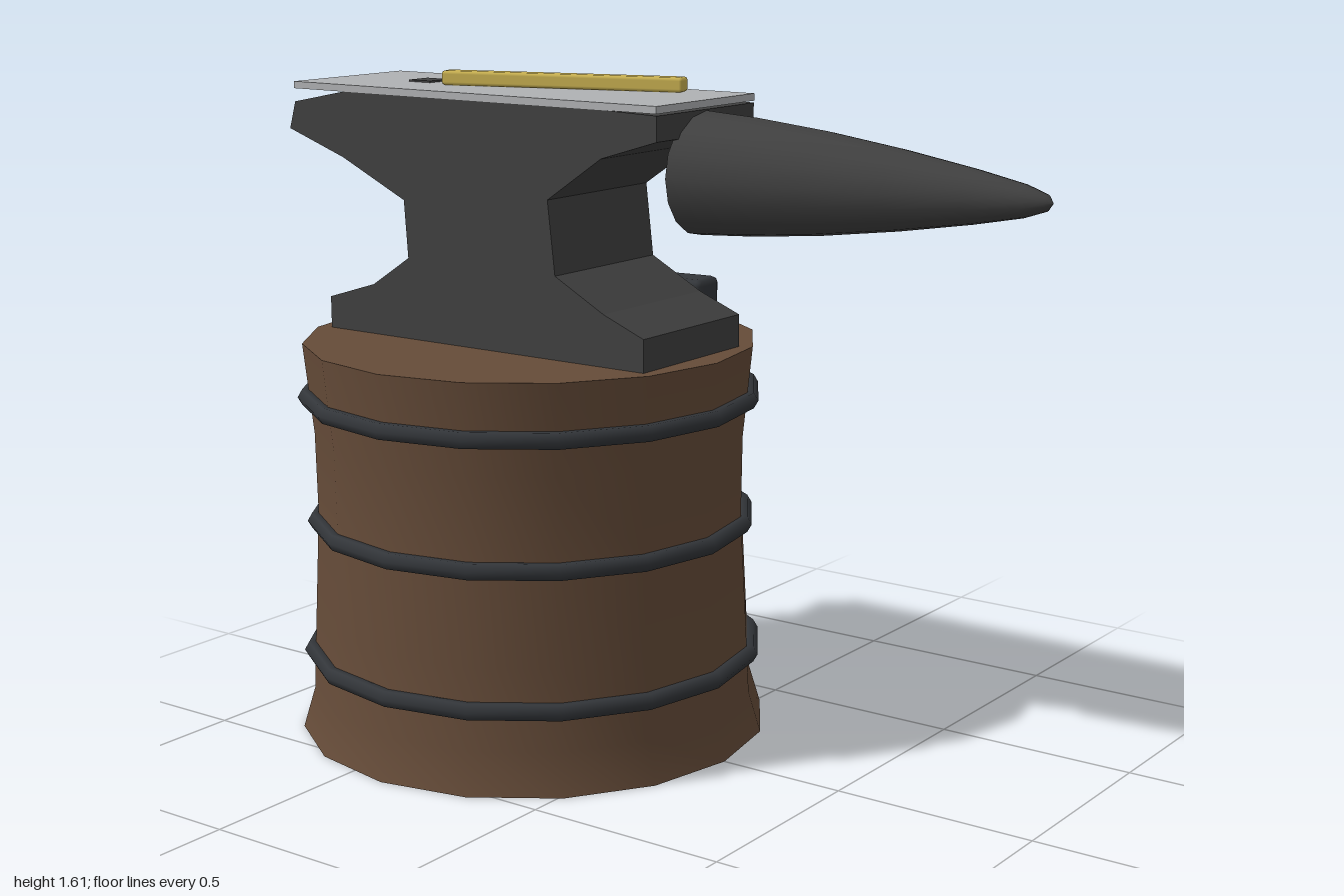
import * as THREE from 'three';
import { RoundedBoxGeometry } from 'three/addons/geometries/RoundedBoxGeometry.js';

const material = (name, color, extra = {}) => {
  const m = new THREE.MeshStandardMaterial({ color, ...extra });
  m.name = name;
  return m;
};

export function createModel() {
  const wood = material('stump wood', 0x664c39);
  const steel = material('dark steel', 0x404040);
  const face = material('polished steel', 0xb0b2b4);
  const iron = material('band iron', 0x33363a);
  const brass = material('brass', 0xcab252);
  const handleWood = material('handle wood', 0x5f4230, { flatShading: true });

  const model = new THREE.Group();
  const add = (name, geometry, mat, parent = model, x = 0, y = 0, z = 0) => {
    const mesh = new THREE.Mesh(geometry, mat);
    mesh.name = name;
    mesh.position.set(x, y, z);
    parent.add(mesh);
    return mesh;
  };
  const points = (list) => list.map(([x, y]) => new THREE.Vector2(x, y));

  // Stump: flared, waisted log with flat end caps
  const stump = new THREE.Group();
  stump.name = 'stump';
  stump.position.x = -0.4;
  model.add(stump);
  const log = [[0.58, 0], [0.55, 0.1], [0.54, 0.3], [0.527, 0.55], [0.53, 0.75], [0.553, 0.972]];
  add('stumpSide', new THREE.LatheGeometry(points(log), 16), wood, stump);
  add('stumpTop', new THREE.CircleGeometry(0.553, 16), wood, stump, 0, 0.972).rotation.x = -Math.PI / 2;
  add('stumpBottom', new THREE.CircleGeometry(0.58, 16), wood, stump).rotation.x = Math.PI / 2;

  // Iron bands
  for (const [y, r] of [[0.2, 0.55], [0.53, 0.532], [0.84, 0.546]]) {
    add('band', new THREE.TorusGeometry(r, 0.022, 6, 16), iron, stump, 0, y).rotation.x = Math.PI / 2;
  }

  // Anvil body: side profile extruded across the width
  const profile = [
    [-0.88, 0.972], [0.083, 0.972], [0.083, 1.05], [-0.03, 1.095], [-0.17, 1.17], [-0.19, 1.345],
    [-0.035, 1.45], [0.12, 1.497], [0.12, 1.555], [-0.14, 1.563], [-0.8, 1.563], [-0.98, 1.527],
    [-1, 1.46], [-0.825, 1.4], [-0.63, 1.31], [-0.62, 1.17], [-0.735, 1.095], [-0.88, 1.05],
  ];
  const body = new THREE.ExtrudeGeometry(new THREE.Shape(points(profile)), { depth: 0.386, bevelEnabled: false });
  body.translate(0, 0, -0.193);
  add('anvilBody', body, steel);

  // Face plate and its two holes
  add('facePlate', new THREE.BoxGeometry(1.1, 0.017, 0.39), face, model, -0.43, 1.568, 0);
  add('squareHole', new THREE.BoxGeometry(0.068, 0.008, 0.068), steel, model, -0.712, 1.577, 0);
  add('roundHole', new THREE.CylinderGeometry(0.02, 0.02, 0.008, 10), steel, model, -0.52, 1.577, -0.008);

  // Horn: rounded taper pointing to +x, with a closed base
  const horn = new THREE.Group();
  horn.name = 'horn';
  horn.position.set(0.107, 1.41, 0);
  horn.rotation.z = -Math.PI / 2;
  model.add(horn);
  const taper = [[0.143, 0], [0.134, 0.15], [0.116, 0.33], [0.09, 0.52], [0.06, 0.7], [0.036, 0.82], [0.018, 0.873], [0, 0.887]];
  add('hornCone', new THREE.LatheGeometry(points(taper), 16), steel, horn);
  add('hornBase', new THREE.CircleGeometry(0.143, 16), steel, horn).rotation.x = Math.PI / 2;

  // Brass bar resting on the face
  const bar = add('brassBar', new RoundedBoxGeometry(0.617, 0.035, 0.047, 1, 0.008), brass, model, -0.323, 1.594, -0.039);
  bar.rotation.y = 0.28;

  // Hammer lying on the stump behind the anvil
  const hammer = new THREE.Group();
  hammer.name = 'hammer';
  hammer.position.set(-0.497, 1.01, -0.262);
  hammer.rotation.y = 0.11;
  model.add(hammer);
  const handle = add('hammerHandle', new THREE.CylinderGeometry(0.03, 0.03, 0.5, 8), handleWood, hammer);
  handle.rotation.z = -Math.PI / 2;
  add('hammerHead', new RoundedBoxGeometry(0.138, 0.105, 0.1, 1, 0.016), iron, hammer, 0.348, 0.042, -0.005);

  return model;
}
